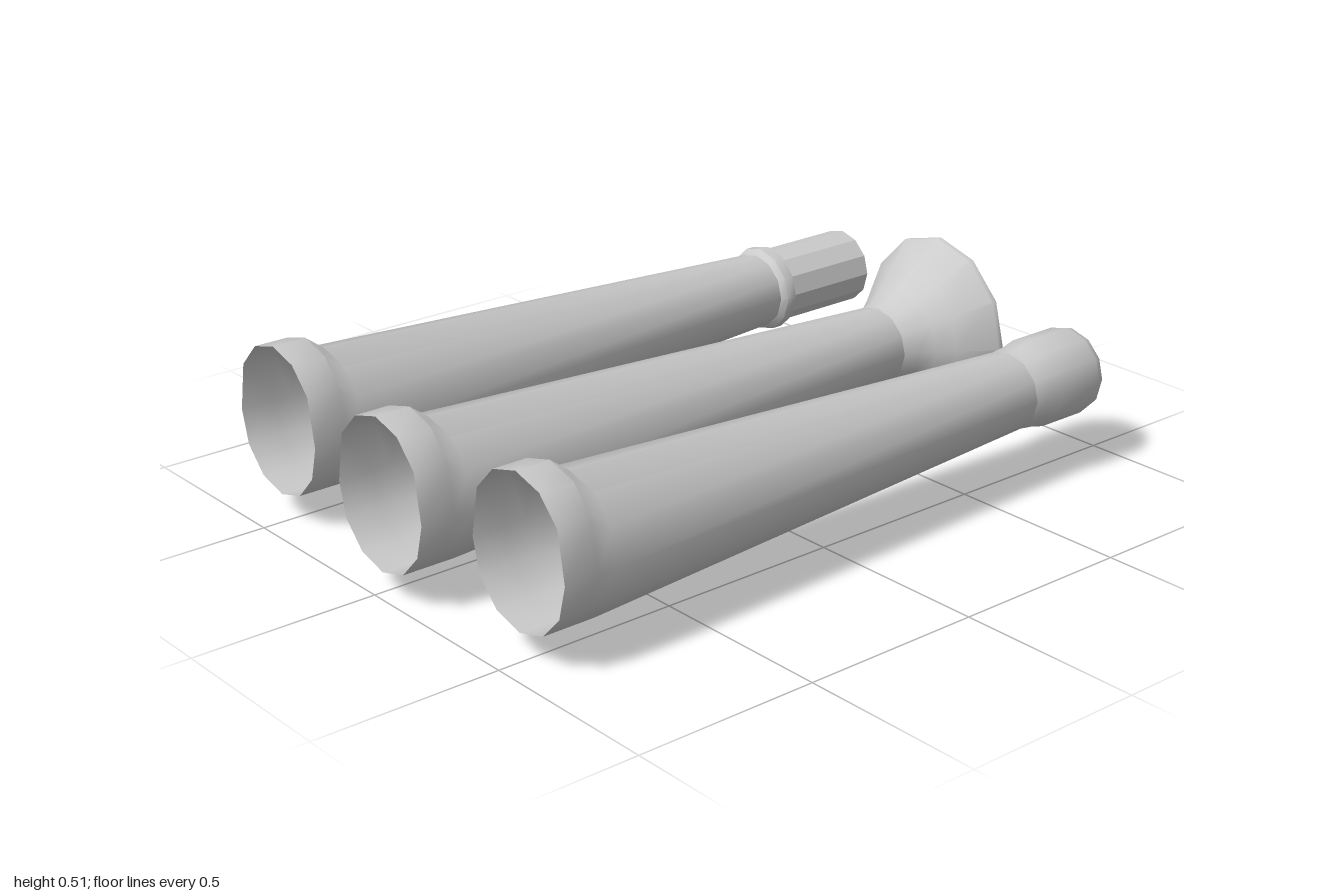
import * as THREE from 'three';
import { toCreasedNormals } from 'three/addons/utils/BufferGeometryUtils.js';

const SIDES = 12;
const AXIS_Y = 0.26;
const material = new THREE.MeshStandardMaterial({ color: 0xcccccc, side: THREE.DoubleSide });

// Skin a row of 12-sided rings along x. Each ring: [x, radiusY, radiusZ, lift of its upper half]
function loft(name, rings, crease = 0.7) {
  const pos = [], index = [];
  for (const [x, ry, rz, lift = 0] of rings) {
    for (let j = 0; j < SIDES; j++) {
      const a = (j / SIDES) * Math.PI * 2;
      const up = Math.cos(a);
      pos.push(x, up * ry + (up > 0.1 ? lift : 0), Math.sin(a) * rz);
    }
  }
  for (let i = 0; i < rings.length - 1; i++) {
    for (let j = 0; j < SIDES; j++) {
      const k = (j + 1) % SIDES;
      const a = i * SIDES + j, b = a + SIDES, c = i * SIDES + k, d = c + SIDES;
      index.push(a, c, b, c, d, b);
    }
  }
  const geo = new THREE.BufferGeometry();
  geo.setAttribute('position', new THREE.Float32BufferAttribute(pos, 3));
  geo.setIndex(index);
  const mesh = new THREE.Mesh(toCreasedNormals(geo, crease), material);
  mesh.name = name;
  return mesh;
}

// Open breech with a raised upper half, then the long taper
const barrelRings = (start, neck) => [
  [start, 0.18, 0.172, 0.04],
  [start + 0.095, 0.18, 0.172, 0.04],
  [start + 0.148, 0.18, 0.172],
  [neck, 0.104, 0.109],
];

function gun(name, z, ...parts) {
  const g = new THREE.Group();
  g.name = name;
  g.position.set(0, AXIS_Y, z);
  g.add(...parts);
  return g;
}

export function createModel() {
  const model = new THREE.Group();
  model.name = 'gunBarrels';

  // Barrel with a swollen muzzle
  model.add(gun('swollenBarrel', 0.502,
    loft('barrel', barrelRings(-0.94, 0.64)),
    loft('muzzleSwell', [
      [0.64, 0.104, 0.109],
      [0.68, 0.109, 0.112],
      [0.72, 0.119, 0.118],
      [0.865, 0.119, 0.118],
      [0.882, 0.114, 0.113],
      [0.893, 0.104, 0.104],
      [0.893, 0.088, 0.088],
      [0.78, 0.088, 0.088],
    ])));

  // Barrel with a trumpet muzzle
  model.add(gun('flaredBarrel', 0.041,
    loft('barrel', barrelRings(-1, 0.617)),
    loft('flare', [
      [0.617, 0.104, 0.109],
      [0.66, 0.117, 0.12],
      [0.70, 0.144, 0.146],
      [0.745, 0.18, 0.18],
      [0.838, 0.255, 0.248],
      [0.852, 0.255, 0.248],
      [0.852, 0.248, 0.241],
      [0.838, 0.242, 0.236],
      [0.75, 0.176, 0.176],
    ])));

  // Barrel with a collar and a straight sleeve
  model.add(gun('sleevedBarrel', -0.502,
    loft('barrel', barrelRings(-0.94, 0.66)),
    loft('collar', [
      [0.66, 0.104, 0.109],
      [0.675, 0.12, 0.122],
      [0.705, 0.12, 0.122],
      [0.705, 0.103, 0.106],
    ]),
    loft('sleeve', [
      [0.705, 0.104, 0.108],
      [1.0, 0.104, 0.108],
      [1.0, 0.094, 0.096],
      [0.86, 0.094, 0.096],
    ], 0.3)));

  return model;
}
